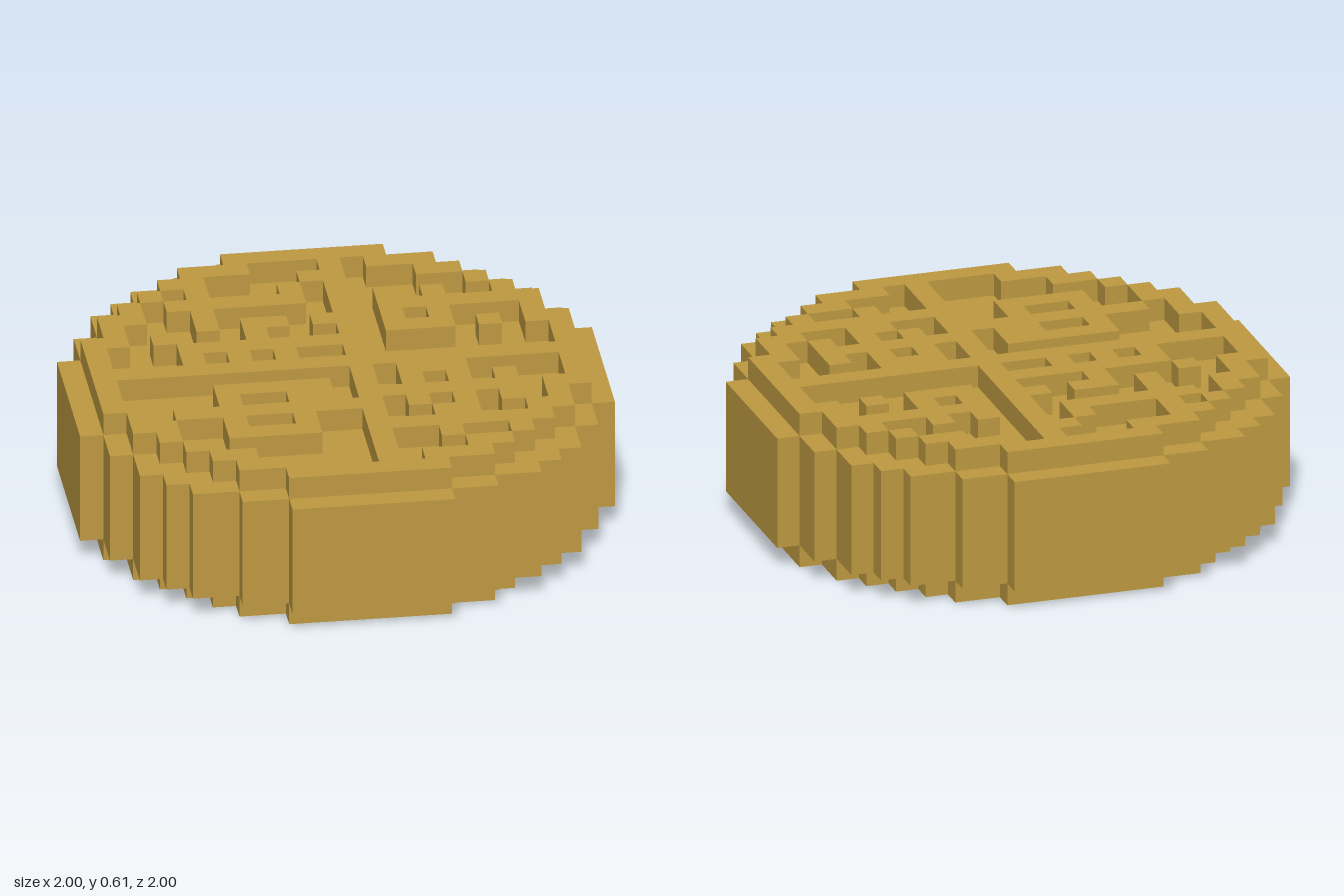
import * as THREE from 'three';
import { mergeGeometries } from 'three/addons/utils/BufferGeometryUtils.js';

const N = 23, U = 2 / N; // cells across, cell size

// Half widths of the stepped discs, one entry per row from the rim to the middle
const WIDE = [3, 5, 7, 8, 9, 9, 10, 10, 11, 11, 11, 11];
const NARROW = [3, 5, 6, 7, 8, 9, 9, 10, 10, 10, 10]; // begins one row further in

// Carved pattern of the upper face: rows 2 to 20, columns 2 to 20, # is a recess
const PATTERN = [
  '.......###.#.......',
  '.....####..###.....',
  '...#.###.#.#####...',
  '..#......#.#.#.##..',
  '..##.#####.#.......',
  '.###.#..#..#.#.###.',
  '.#.###.###.#...#.#.',
  '###........########',
  '###.#.#.##.########',
  '...................',
  '##########.#...####',
  '####.....#.#.#.#.##',
  '.###.##..#.......#.',
  '.#.........#.#.#.#.',
  '..##.##.##.##..##..',
  '..##....##.........',
  '...#######.##.##...',
  '.....#####.###.....',
  '.......###.#.......',
];

// Outline of a disc from its half widths, closed by mirroring
function discGeometry(widths, first, y, height) {
  const quarter = [];
  widths.forEach((w, i) => {
    const x = (w + 0.5) * U;
    const z = (first + i) * U - 1;
    if (i && w === widths[i - 1]) return;
    if (i) quarter.push([(widths[i - 1] + 0.5) * U, z]);
    quarter.push([x, z]);
  });
  const flip = (pts, sx, sz) => pts.map(([x, z]) => [x * sx, z * sz]);
  const back = [...quarter].reverse();
  const loop = [...quarter, ...flip(back, 1, -1), ...flip(quarter, -1, -1), ...flip(back, -1, 1)];
  const shape = new THREE.Shape(loop.map(([x, z]) => new THREE.Vector2(x, -z)));
  const geometry = new THREE.ExtrudeGeometry(shape, { depth: height, bevelEnabled: false });
  return geometry.rotateX(-Math.PI / 2).translate(0, y, 0);
}

// Raised cells of the upper layer, joined into one bar per run
function reliefGeometry(y) {
  const bars = [];
  for (let r = 1; r <= 21; r++) {
    const half = NARROW[Math.min(r, 22 - r) - 1];
    const raised = c => Math.abs(c - 11) <= half && PATTERN[r - 2]?.[c - 2] !== '#';
    for (let c = 0; c < N; c++) {
      if (!raised(c)) continue;
      const start = c;
      while (raised(c + 1)) c++;
      const bar = new THREE.BoxGeometry((c - start + 1) * U, U, U);
      bars.push(bar.translate((start + c + 1) / 2 * U - 1, y + U / 2, (r + 0.5) * U - 1));
    }
  }
  return mergeGeometries(bars);
}

export function createModel() {
  const group = new THREE.Group();
  group.name = 'carvedRoundCake';
  const crust = new THREE.MeshStandardMaterial({ color: 0xbe9a41 });
  crust.name = 'golden crust';

  const add = (name, geometry) => {
    const mesh = new THREE.Mesh(geometry, crust);
    mesh.name = name;
    group.add(mesh);
  };
  add('base', discGeometry(NARROW, 1, 0, U));
  add('body', discGeometry(WIDE, 0, U, 5 * U));
  add('topRelief', reliefGeometry(6 * U));
  return group;
}
